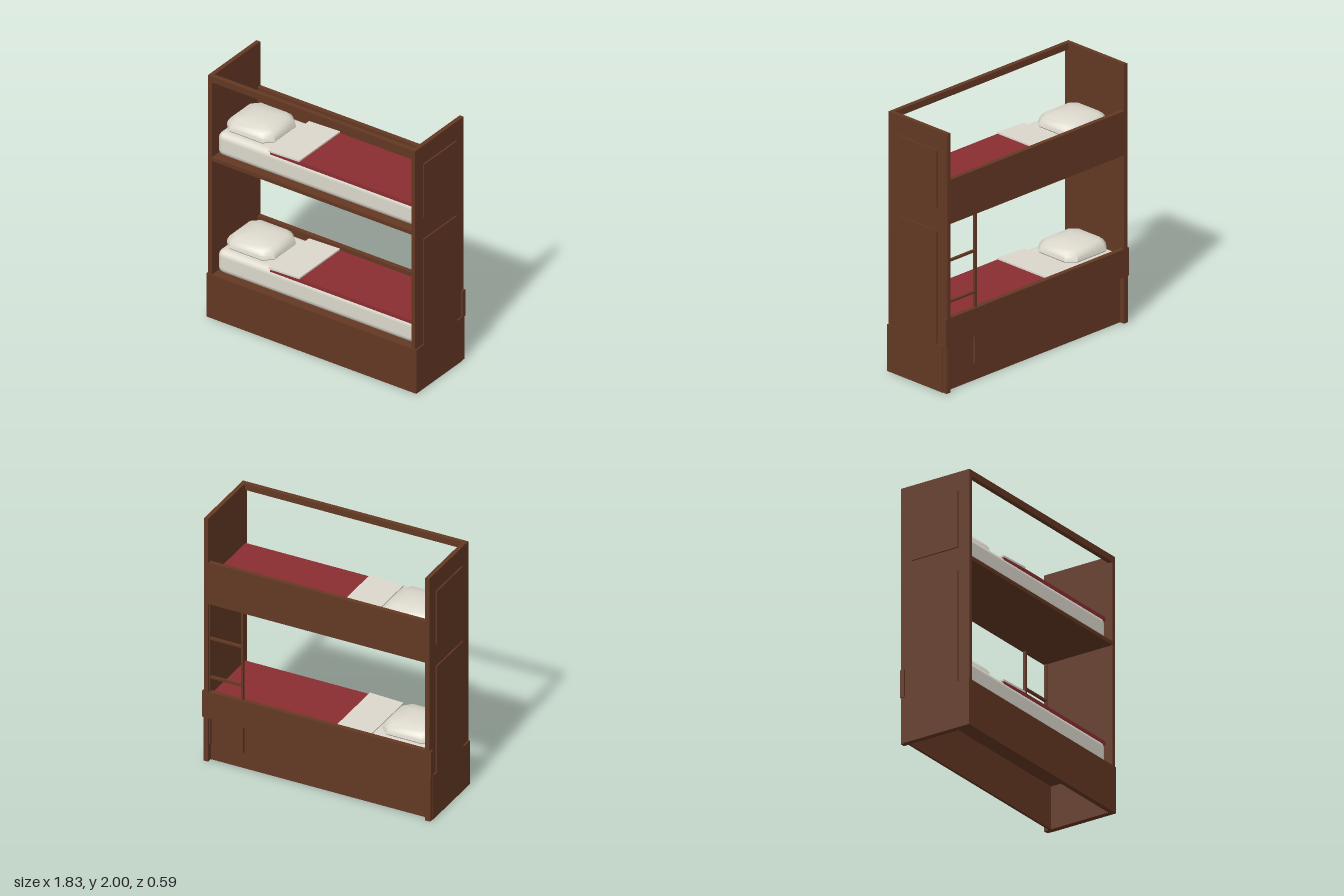
import * as THREE from 'three';
import { toCreasedNormals } from 'three/addons/utils/BufferGeometryUtils.js';
import { RoundedBoxGeometry } from 'three/addons/geometries/RoundedBoxGeometry.js';

const mat = (name, color) => {
  const m = new THREE.MeshStandardMaterial({ color });
  m.name = name;
  return m;
};

// Octagonal cushion lofted through stacked rings of [y, scale]
function pillowGeometry() {
  const outline = [[0.21, 0.13], [0.145, 0.195], [-0.145, 0.195], [-0.21, 0.13],
    [-0.21, -0.13], [-0.145, -0.195], [0.145, -0.195], [0.21, -0.13]];
  const rings = [[0, 0], [0, 0.93], [0.017, 1], [0.045, 0.97], [0.07, 0.9], [0.092, 0.77], [0.108, 0.42], [0.117, 0]];
  const pos = [], idx = [], n = outline.length;
  for (const [y, s] of rings) for (const [x, z] of outline) pos.push(x * s, y, z * s);
  for (let r = 0; r < rings.length - 1; r++) {
    for (let i = 0; i < n; i++) {
      const a = r * n + i, b = r * n + (i + 1) % n;
      if (rings[r][1] > 0) idx.push(a, b, a + n);
      if (rings[r + 1][1] > 0) idx.push(b, b + n, a + n);
    }
  }
  // the outline runs clockwise seen from above, so flip each triangle outward
  for (let i = 0; i < idx.length; i += 3) [idx[i + 1], idx[i + 2]] = [idx[i + 2], idx[i + 1]];
  const g = new THREE.BufferGeometry();
  g.setAttribute('position', new THREE.Float32BufferAttribute(pos, 3));
  g.setIndex(idx);
  return toCreasedNormals(g, 0.75);
}

export function createModel() {
  const root = new THREE.Group();
  root.name = 'bunkBed';
  const wood = mat('brownWood', 0x633823);
  const linen = mat('offWhiteLinen', 0xdcd8cc);
  const red = mat('redBlanket', 0x8b2e32);

  // Box given by its limits on each axis
  const box = (parent, name, material, [x0, x1], [y0, y1], [z0, z1]) => {
    const m = new THREE.Mesh(new THREE.BoxGeometry(x1 - x0, y1 - y0, z1 - z0), material);
    m.position.set((x0 + x1) / 2, (y0 + y1) / 2, (z0 + z1) / 2);
    m.name = name;
    parent.add(m);
    return m;
  };

  // End walls with raised panels, base cheeks and rear legs
  for (const s of [-1, 1]) {
    const end = new THREE.Group();
    end.name = s > 0 ? 'leftEnd' : 'rightEnd';
    const span = (a, b) => (s > 0 ? [a, b] : [-b, -a]);
    box(end, 'endWall', wood, span(0.87, 0.903), [0, 2], [-0.295, 0.295]);
    box(end, 'lowerRaisedPanel', wood, span(0.9, 0.914), [0.36, 1.23], [-0.2, 0.2]);
    box(end, 'upperRaisedPanel', wood, span(0.9, 0.914), [1.41, 1.85], [-0.2, 0.2]);
    box(end, 'baseCheek', wood, span(0.9, 0.914), [0, 0.36], [-0.26, 0.294]);
    box(end, 'rearLeg', wood, span(0.9, 0.91), [0, 0.36], [-0.293, -0.26]);
    root.add(end);
  }

  // Long boards and platforms
  box(root, 'topRail', wood, [-0.87, 0.87], [1.95, 2], [0.26, 0.295]);
  box(root, 'upperPlatform', wood, [-0.87, 0.87], [1.3, 1.33], [-0.295, 0.295]);
  box(root, 'upperBackBoard', wood, [-0.87, 0.87], [1.33, 1.64], [-0.295, -0.26]);
  box(root, 'lowerPlatform', wood, [-0.87, 0.87], [0.335, 0.36], [-0.26, 0.26]);
  box(root, 'lowerBackBoard', wood, [-0.917, 0.917], [0.36, 0.575], [-0.297, -0.26]);
  box(root, 'baseFrontBoard', wood, [-0.914, 0.914], [0, 0.36], [0.26, 0.297]);
  box(root, 'baseBackBoard', wood, [-0.87, 0.87], [0, 0.335], [-0.255, -0.235]);

  // Ladder at the back
  const ladder = new THREE.Group();
  ladder.name = 'ladder';
  for (const x of [0.595, 0.86]) box(ladder, 'ladderPost', wood, [x, x + 0.018], [0.14, 1.3], [-0.285, -0.265]);
  for (const y of [0.685, 1.003]) box(ladder, 'ladderRung', wood, [0.6, 0.87], [y, y + 0.016], [-0.285, -0.265]);
  root.add(ladder);

  // Bedding on both levels
  const mattressGeo = new RoundedBoxGeometry(1.73, 0.19, 0.5, 2, 0.05);
  const pillowGeo = pillowGeometry();
  for (const [name, y] of [['lowerBedding', 0.36], ['upperBedding', 1.33]]) {
    const bed = new THREE.Group();
    bed.name = name;
    bed.position.y = y;
    const mattress = new THREE.Mesh(mattressGeo, linen);
    mattress.name = 'mattress';
    mattress.position.set(0, 0.072 + 0.0215, 0);
    bed.add(mattress);
    box(bed, 'blanket', red, [-0.4, 0.855], [0.165, 0.195], [-0.244, 0.244]);
    const fold = box(bed, 'foldedSheet', linen, [-0.41, -0.14], [0.188, 0.202], [-0.247, 0.247]);
    fold.rotation.z = 0.035;
    const pillow = new THREE.Mesh(pillowGeo, linen);
    pillow.name = 'pillow';
    pillow.position.set(-0.648, 0.182, 0);
    bed.add(pillow);
    root.add(bed);
  }
  return root;
}
